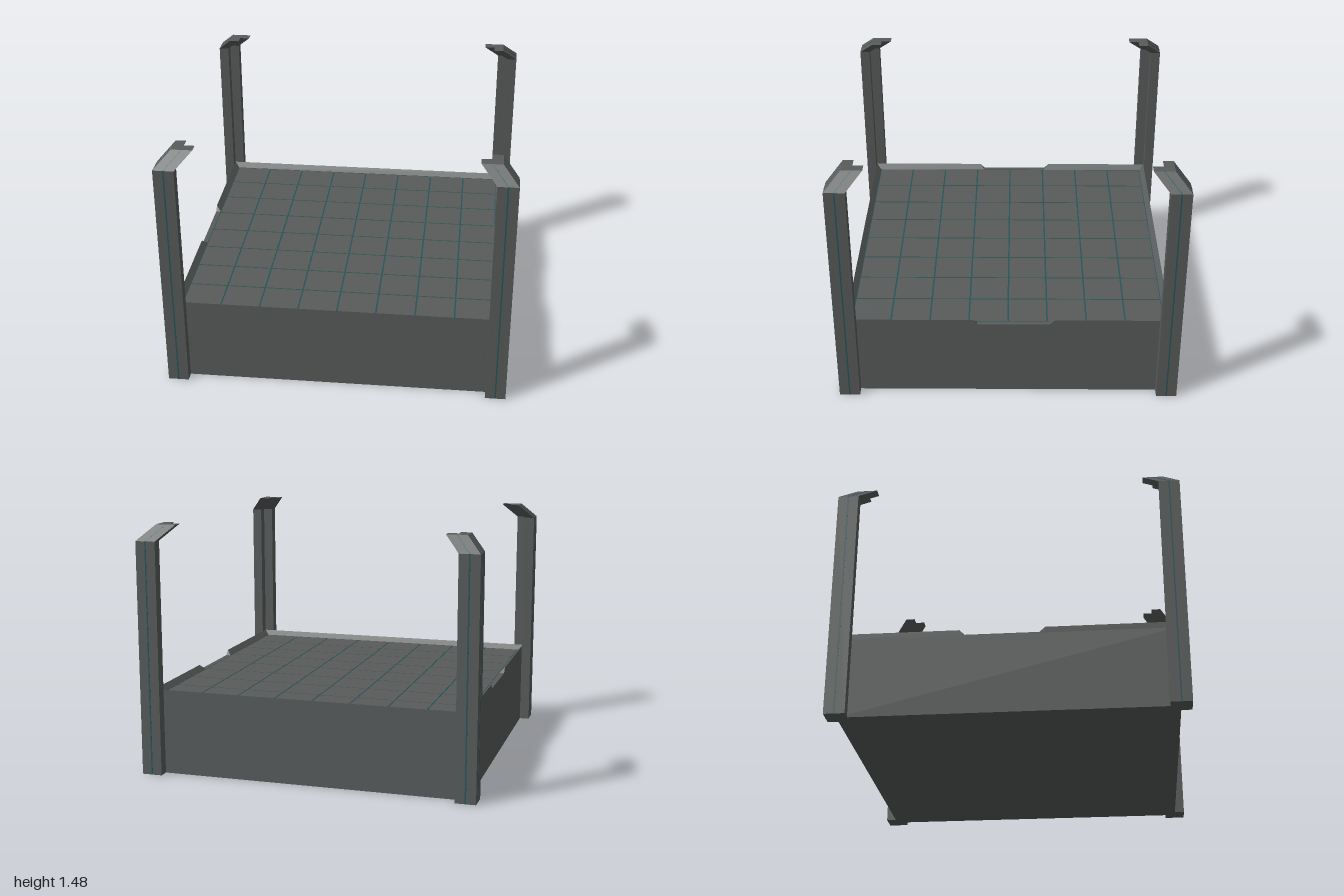
import * as THREE from 'three';

const OUT = 0.94, INN = 0.91;          // outer wall and inner floor half-widths
const FLOOR = 0.475, RIM = 0.505, BASE = 0.47;
const POST_H = 1.385, HOOK = 0.09;

const body = new THREE.MeshStandardMaterial({ color: 0x595c5c, flatShading: true });
const trim = new THREE.MeshStandardMaterial({ color: 0x265558, flatShading: true });

function add(parent, geometry, name, material = body) {
  const mesh = new THREE.Mesh(geometry, material);
  mesh.name = name;
  parent.add(mesh);
  return mesh;
}

// Rim lofted along x on the +z side; each section is [outer x, inner x, top y]
function rimGeometry(sections) {
  const pos = [], idx = [];
  for (const [o, i, y] of sections) {
    pos.push(o, BASE, OUT, o, y, OUT, i, FLOOR, INN, i, BASE, INN);
  }
  for (let s = 0; s < sections.length - 1; s++) {
    for (let k = 0; k < 3; k++) {
      const a = s * 4 + k, b = a + 4;
      idx.push(a, b, b + 1, a, b + 1, a + 1);
    }
  }
  const g = new THREE.BufferGeometry();
  g.setAttribute('position', new THREE.Float32BufferAttribute(pos, 3));
  g.setIndex(idx);
  const flat = g.toNonIndexed();
  flat.computeVertexNormals();
  return flat;
}

// Upright extrusion of an (x, z) outline whose top leans inward at 45 degrees
function postGeometry(outline) {
  const shape = new THREE.Shape(outline.map(([x, z]) => new THREE.Vector2(x, -z)));
  const g = new THREE.ExtrudeGeometry(shape, { depth: 2, steps: 2, bevelEnabled: false });
  g.rotateX(-Math.PI / 2);
  const p = g.attributes.position;
  for (let i = 0; i < p.count; i++) {
    const level = Math.round(p.getY(i));
    const shift = level === 2 ? HOOK : 0;
    p.setXYZ(i, p.getX(i) - shift, [0, POST_H, POST_H + HOOK][level], p.getZ(i) - shift);
  }
  g.computeVertexNormals();
  return g;
}

export function createModel() {
  const model = new THREE.Group();
  model.name = 'cornerPostPlatform';

  // Solid base block
  add(model, new THREE.BoxGeometry(OUT * 2, BASE, OUT * 2), 'base').position.y = BASE / 2;

  // 8 x 8 floor tiles over a teal bed that shows in the narrow grooves
  add(model, new THREE.BoxGeometry(INN * 2, 0.004, INN * 2), 'grooveBed', trim).position.y = BASE + 0.001;
  const tiles = new THREE.Group();
  tiles.name = 'floorTiles';
  model.add(tiles);
  const n = 8, pitch = INN * 2 / n, gap = 0.009;
  const tile = new THREE.BoxGeometry(pitch - gap, FLOOR - BASE, pitch - gap);
  for (let i = 0; i < n; i++) {
    for (let j = 0; j < n; j++) {
      add(tiles, tile, 'floorTile').position.set(
        -INN + (i + 0.5) * pitch, (FLOOR + BASE) / 2, -INN + (j + 0.5) * pitch);
    }
  }

  // Sloped rim: plain at front and back, notched on both sides
  const plain = [[-OUT, -INN, RIM], [OUT, INN, RIM]];
  const notched = (a, b) => [
    [-OUT, -INN, RIM], [a - 0.03, a, RIM], [a, a, FLOOR],
    [b, b, FLOOR], [b + 0.03, b, RIM], [OUT, INN, RIM],
  ];
  const rims = [
    ['frontRim', plain, 0], ['leftRim', notched(-0.18, 0.24), 1],
    ['backRim', plain, 2], ['rightRim', notched(-0.24, 0.18), 3],
  ];
  for (const [name, sections, turn] of rims) {
    add(model, rimGeometry(sections), name).rotation.y = turn * Math.PI / 2;
  }

  // Four L-section corner posts, each with a fine teal seam on both outer faces
  const post = postGeometry([[1, 1], [0.88, 1], [0.88, 0.94], [0.94, 0.94], [0.94, 0.88], [1, 0.88]]);
  const seam = [[0.936, 1], [0.944, 1], [0.944, 1.001], [0.936, 1.001]];
  const seams = [postGeometry(seam), postGeometry(seam.map(([x, z]) => [z, x]))];
  ['frontLeftPost', 'backLeftPost', 'backRightPost', 'frontRightPost'].forEach((name, i) => {
    const group = new THREE.Group();
    group.name = name;
    group.rotation.y = i * Math.PI / 2;
    add(group, post, 'postBody');
    seams.forEach((g) => add(group, g, 'postSeam', trim));
    model.add(group);
  });

  return model;
}
